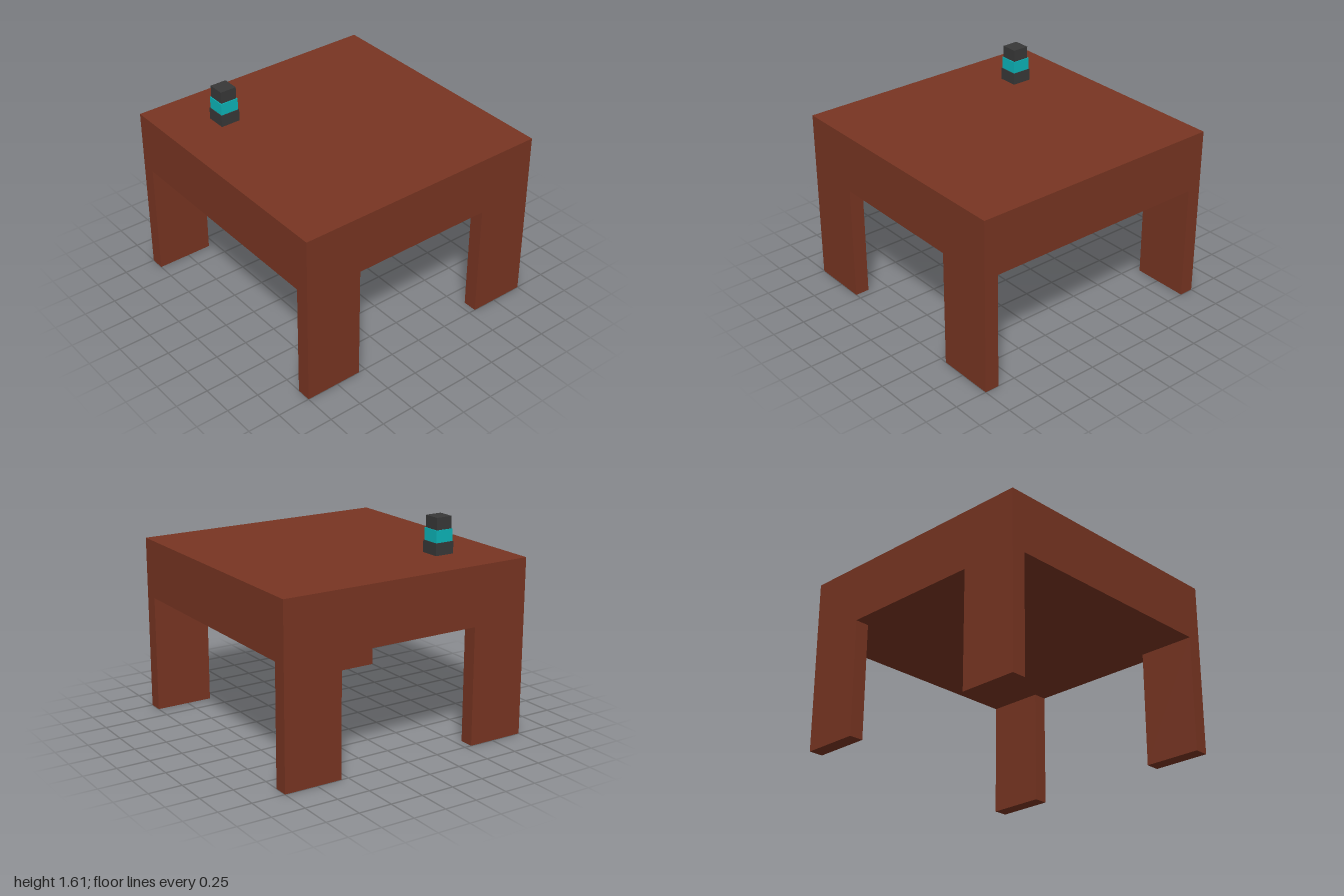
import * as THREE from 'three';

export function createModel() {
  const group = new THREE.Group();
  const wood = new THREE.MeshStandardMaterial({ color: 0x783522 });
  const dark = new THREE.MeshStandardMaterial({ color: 0x383838 });
  const cyan = new THREE.MeshStandardMaterial({ color: 0x0cb4b8 });

  // Box standing on the height y
  function addBox(name, material, [w, h, d], [x, y, z]) {
    const mesh = new THREE.Mesh(new THREE.BoxGeometry(w, h, d), material);
    mesh.name = name;
    mesh.position.set(x, y + h / 2, z);
    group.add(mesh);
  }

  // Thick table top
  const legHeight = 0.89, topHeight = 0.444;
  addBox('tableTop', wood, [2, topHeight, 2], [0, legHeight, 0]);

  // Four flat legs flush with the corners
  const legWidth = 0.11, legDepth = 0.444;
  for (const [side, sx] of [['Left', 1], ['Right', -1]]) {
    for (const [end, sz] of [['front', 1], ['back', -1]]) {
      addBox(`${end}${side}Leg`, wood, [legWidth, legHeight, legDepth],
        [sx * (1 - legWidth / 2), 0, sz * (1 - legDepth / 2)]);
    }
  }

  // Small stack of three narrowing blocks on the table
  const blockHeight = 0.091;
  const blocks = [
    ['stackBase', dark, 0.153],
    ['stackMiddle', cyan, 0.142],
    ['stackCap', dark, 0.128],
  ];
  blocks.forEach(([name, material, width], i) => {
    addBox(name, material, [width, blockHeight, width],
      [-0.557, legHeight + topHeight + i * blockHeight, 0.557]);
  });

  return group;
}
